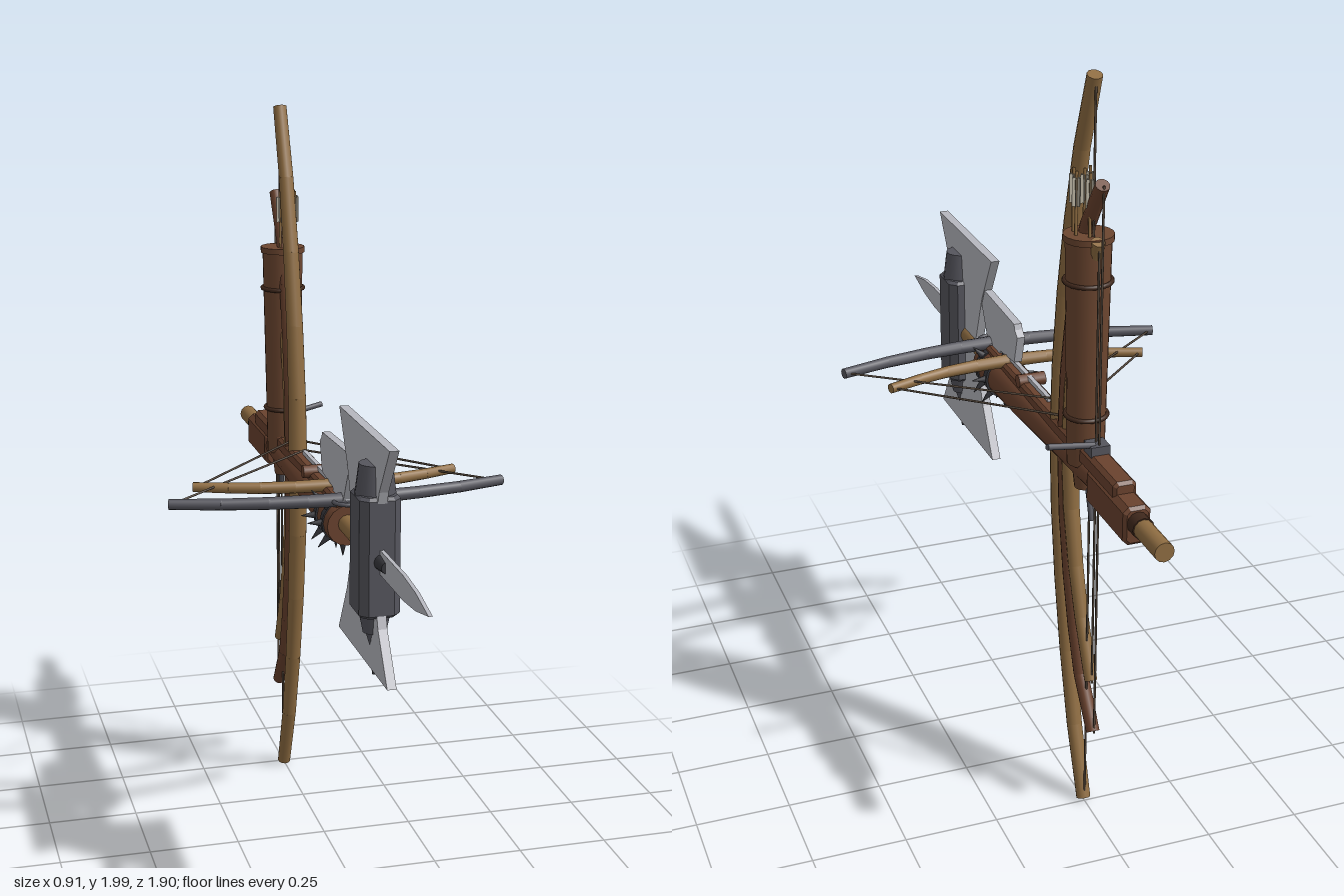
import * as THREE from 'three';

const mat = (name, color) => {
  const m = new THREE.MeshStandardMaterial({ color });
  m.name = name;
  return m;
};

export function createModel() {
  const root = new THREE.Group();
  root.name = 'weaponBundle';
  const wood = mat('light wood', 0x8f6d42);
  const brown = mat('brown wood', 0x6a422e);
  const leather = mat('leather', 0x6c4630);
  const dark = mat('dark leather', 0x3f281c);
  const iron = mat('dark iron', 0x55555d);
  const black = mat('black iron', 0x36363b);
  const steel = mat('pale steel', 0xb6b7be);
  const cord = mat('cord', 0x55483c);
  const feather = mat('feather', 0xb9b3a2);

  const add = (name, geo, m, x = 0, y = 0, z = 0, parent = root) => {
    const mesh = new THREE.Mesh(geo, m);
    mesh.name = name;
    mesh.position.set(x, y, z);
    parent.add(mesh);
    return mesh;
  };

  // Tapered rod from a to b
  const up = new THREE.Vector3(0, 1, 0);
  const rod = (name, a, b, r0, r1, m, parent = root, sides = 12) => {
    const p = new THREE.Vector3(...a), q = new THREE.Vector3(...b);
    const d = q.clone().sub(p);
    const mesh = add(name, new THREE.CylinderGeometry(r1, r0, d.length(), sides), m, 0, 0, 0, parent);
    mesh.position.copy(p).add(q).multiplyScalar(0.5);
    mesh.quaternion.setFromUnitVectors(up, d.normalize());
    return mesh;
  };

  // Flat plate outlined by [z, y] points
  const plate = (name, pts, t, m) => {
    const s = new THREE.Shape(pts.map(p => new THREE.Vector2(...p)));
    const g = new THREE.ExtrudeGeometry(s, { depth: t, bevelEnabled: false });
    g.translate(0, 0, -t / 2).rotateY(-Math.PI / 2);
    return add(name, g, m);
  };

  // Block with chamfered long edges, built along z
  const chamferBlock = (w, h, len, c) => {
    const x = w / 2, y = h / 2;
    const s = new THREE.Shape([[-x + c, -y], [x - c, -y], [x, -y + c], [x, y - c], [x - c, y],
      [-x + c, y], [-x, y - c], [-x, -y + c]].map(p => new THREE.Vector2(...p)));
    return new THREE.ExtrudeGeometry(s, { depth: len - 0.016, bevelThickness: 0.008, bevelSize: 0.008,
      bevelOffset: -0.008, bevelSegments: 1 }).translate(0, 0, -len / 2 + 0.008);
  };

  // Bow made of straight overlapping limb pieces; half is listed from grip to tip
  const bow = (name, half, rMid, rTip, m, place, mirror) => {
    const g = new THREE.Group();
    g.name = name;
    root.add(g);
    const n = half.length - 1;
    for (const s of [1, -1]) {
      for (let i = 0; i < n; i++) {
        const r = k => rMid + (rTip - rMid) * k / n;
        rod('limb', place(half[i], s), place(half[i + 1], s), r(i), r(i + 1), m, g);
        if (i) add('joint', new THREE.SphereGeometry(r(i), 12, 8), m, ...place(half[i], s), g);
      }
    }
    for (const [a, b] of mirror) rod('string', a, b, 0.003, 0.003, cord, g, 6);
  };

  // Upright bows: [height from grip, z]
  const upright = (p, s) => [0, 1.005 + s * p[0], p[1]];
  bow('longBow', [[0, -0.295], [0.2, -0.303], [0.4, -0.328], [0.6, -0.367], [0.8, -0.42], [0.99, -0.492]],
    0.027, 0.019, wood, upright, [[[0, 0.02, -0.5], [0, 1.98, -0.5]]]);
  bow('recurveBow', [[0, -0.345], [0.2, -0.357], [0.36, -0.385], [0.5, -0.42], [0.62, -0.462], [0.745, -0.55]],
    0.026, 0.018, brown, upright, [[[0, 0.26, -0.558], [0, 1.75, -0.558]]]);
  bow('shortBow', [[0, -0.365], [0.17, -0.38], [0.32, -0.415], [0.45, -0.46], [0.6, -0.53]],
    0.023, 0.017, wood, upright, [[[0, 0.4, -0.537], [0, 1.6, -0.537]]]);

  // Crossbow arms: [x, z]
  const level = (p, s) => [s * p[0], 1.06, p[1]];
  const drawn = (x, z, back) => [[[x, 1.06, z], [0, 1.075, back]], [[-x, 1.06, z], [0, 1.075, back]]];
  bow('heavyCrossbowArms', [[0, 0.218], [0.1, 0.214], [0.2, 0.204], [0.32, 0.183], [0.45, 0.148]],
    0.019, 0.014, iron, level, drawn(0.44, 0.148, -0.22));
  bow('lightCrossbowArms', [[0, 0.082], [0.1, 0.077], [0.19, 0.064], [0.27, 0.042], [0.36, 0.01]],
    0.018, 0.013, wood, level, drawn(0.35, 0.01, -0.34));

  // Shared long shaft
  rod('shaft', [0, 1, -0.955], [0, 1, 0.46], 0.025, 0.025, wood);
  rod('shaftBand', [0, 1, -0.835], [0, 1, -0.8], 0.028, 0.028, dark);

  // Crossbow stock
  add('shoulderStock', chamferBlock(0.07, 0.1, 0.24, 0.014), brown, 0, 0.99, -0.68);
  add('stockComb', chamferBlock(0.06, 0.05, 0.3, 0.01), brown, 0, 1.045, -0.575);
  add('stockRail', chamferBlock(0.055, 0.04, 0.75, 0.008), brown, 0, 1.04, -0.14);
  add('bolt', new THREE.BoxGeometry(0.012, 0.012, 0.46), steel, 0, 1.07, 0.01);
  const stirrup = add('stirrup', new THREE.TorusGeometry(0.035, 0.006, 8, 20), iron, 0, 1.06, 0.235);
  stirrup.rotation.x = Math.PI / 2;
  add('triggerHousing', new THREE.BoxGeometry(0.05, 0.065, 0.05), iron, 0, 1.06, -0.545);
  rod('crankLever', [0.01, 1.09, -0.55], [0.14, 1.115, -0.57], 0.008, 0.008, iron);
  rod('trigger', [0, 0.95, -0.49], [0, 0.865, -0.517], 0.008, 0.007, iron);
  rod('latchPin', [-0.045, 1.06, -0.06], [0.03, 1.06, -0.06], 0.018, 0.018, brown);

  // Spiked club
  rod('club', [0, 1, -0.56], [0, 0.995, 0.2], 0.033, 0.057, brown, root, 16);
  rod('clubEnd', [0, 0.995, 0.2], [0, 0.995, 0.24], 0.057, 0.054, brown, root, 16);
  for (const z of [0.125, 0.195]) {
    rod('clubBand', [0, 0.995, z - 0.012], [0, 0.995, z + 0.012], 0.06, 0.06, black, root, 16);
    for (let i = 0; i < 8; i++) {
      const a = i * Math.PI / 4, c = Math.cos(a), s = Math.sin(a);
      rod('clubSpike', [c * 0.055, 0.995 + s * 0.055, z], [c * 0.095, 0.995 + s * 0.095, z], 0.011, 0.001, black, root, 8);
    }
  }

  // War hammer head
  const head = add('hammerHead', chamferBlock(0.105, 0.125, 0.31, 0.02), iron, 0, 1.007, 0.497);
  head.rotation.x = -Math.PI / 2;
  rod('hammerFace', [0, 1.155, 0.497], [0, 1.235, 0.497], 0.052, 0.042, iron, root, 16);
  rod('hammerCollar', [0, 0.86, 0.497], [0, 0.80, 0.497], 0.042, 0.03, iron, root, 16);
  rod('hammerSpike', [0, 0.81, 0.497], [0, 0.735, 0.497], 0.026, 0.004, iron);
  rod('hammerTip', [0, 0.705, 0.497], [0, 0.685, 0.497], 0.007, 0.005, black);
  rod('hammerTipPin', [0, 0.75, 0.497], [0, 0.7, 0.497], 0.004, 0.004, black);
  rod('hammerKnob', [0, 1, 0.55], [0, 1, 0.605], 0.022, 0.015, black);

  // Blades
  plate('doubleAxeBlade', [[0.655, 1.305], [0.2, 1.305], [0.28, 1.17], [0.335, 1.03], [0.335, 0.975],
    [0.28, 0.84], [0.2, 0.705], [0.655, 0.705], [0.57, 0.83], [0.52, 0.975], [0.52, 1.03], [0.57, 1.18]], 0.024, steel);
  plate('hatchetBlade', [[0.26, 1.2], [0.02, 1.19], [0.015, 1.175], [-0.005, 1.16], [0.02, 1.08],
    [0.13, 1.07], [0.16, 1.03], [0.22, 1.03], [0.285, 1.15]], 0.022, steel);
  plate('spearBlade', [[0.95, 1], [0.85, 1.022], [0.75, 1.031], [0.5, 1.031], [0.5, 0.969],
    [0.75, 0.969], [0.85, 0.978]], 0.01, steel);

  // Quiver
  rod('quiver', [0, 1.01, -0.47], [0, 1.6, -0.47], 0.047, 0.057, leather, root, 20);
  rod('quiverRim', [0, 1.592, -0.47], [0, 1.608, -0.47], 0.062, 0.062, leather, root, 20);
  rod('quiverFoot', [0, 0.94, -0.47], [0, 1.01, -0.47], 0.027, 0.035, leather, root, 16);
  for (const [y, r] of [[1.49, 0.058], [1.14, 0.052]]) {
    const ring = add('quiverStrap', new THREE.TorusGeometry(r, 0.006, 8, 24), dark, 0, y, -0.47);
    ring.rotation.x = Math.PI / 2;
  }

  // Arrows
  for (const [x, z] of [[0.03, -0.445], [0.035, -0.475], [0.01, -0.5], [-0.012, -0.445], [0.008, -0.46]]) {
    rod('arrowShaft', [x, 1.3, z], [x, 1.765, z], 0.004, 0.004, wood, root, 6);
    for (let i = 0; i < 3; i++) {
      const f = add('arrowFeather', new THREE.BoxGeometry(0.022, 0.07, 0.002), feather, x, 1.715, z);
      f.rotation.y = i * Math.PI / 3;
    }
  }
  return root;
}
